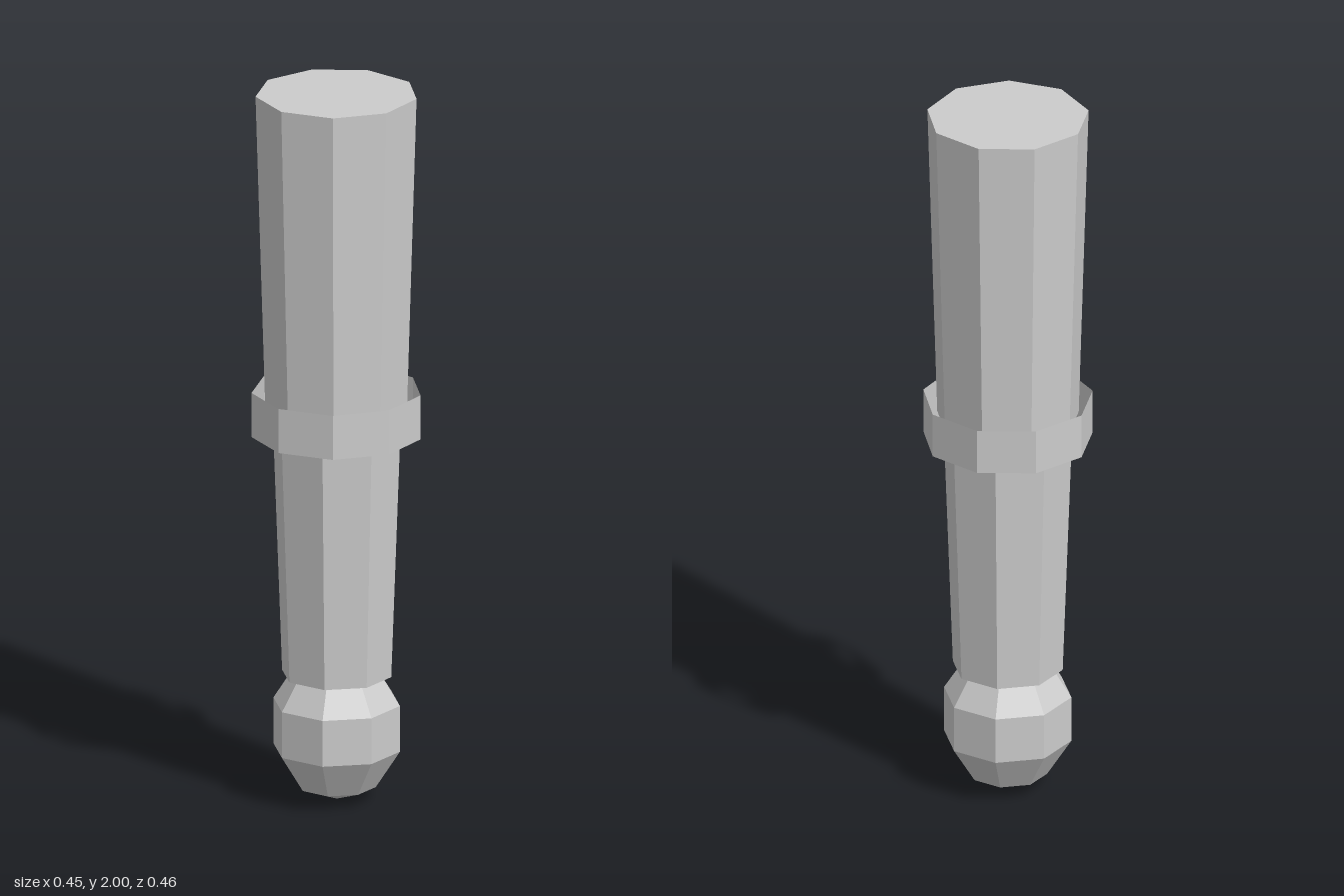
import * as THREE from 'three';

export function createModel() {
  const model = new THREE.Group();
  const grey = new THREE.MeshStandardMaterial({ color: 0xcccccc, flatShading: true, side: THREE.DoubleSide });
  grey.name = 'grey';
  const axisX = -0.007; // nine-sided parts are lopsided, so the axis sits off centre

  function add(name, geometry, y) {
    const mesh = new THREE.Mesh(geometry, grey);
    mesh.name = name;
    mesh.position.set(axisX, y, 0);
    model.add(mesh);
    return mesh;
  }

  // Tapered prism between two heights, with one corner pointing to +x
  function prism(name, rTop, rBottom, yBottom, yTop, sides, open = false) {
    const g = new THREE.CylinderGeometry(rTop, rBottom, yTop - yBottom, sides, 1, open, Math.PI / 2);
    return add(name, g, (yTop + yBottom) / 2);
  }

  prism('upperShaft', 0.221, 0.194, 1.1, 2, 9);
  prism('collar', 0.232, 0.232, 1.035, 1.16, 9, true); // open band
  prism('lowerShaft', 0.178, 0.151, 0.355, 1.1, 8);

  // Slightly stretched ball at the lower end
  const ball = add('ballTip', new THREE.SphereGeometry(0.184, 8, 5), 0.21);
  ball.scale.y = 0.21 / 0.184;

  return model;
}
